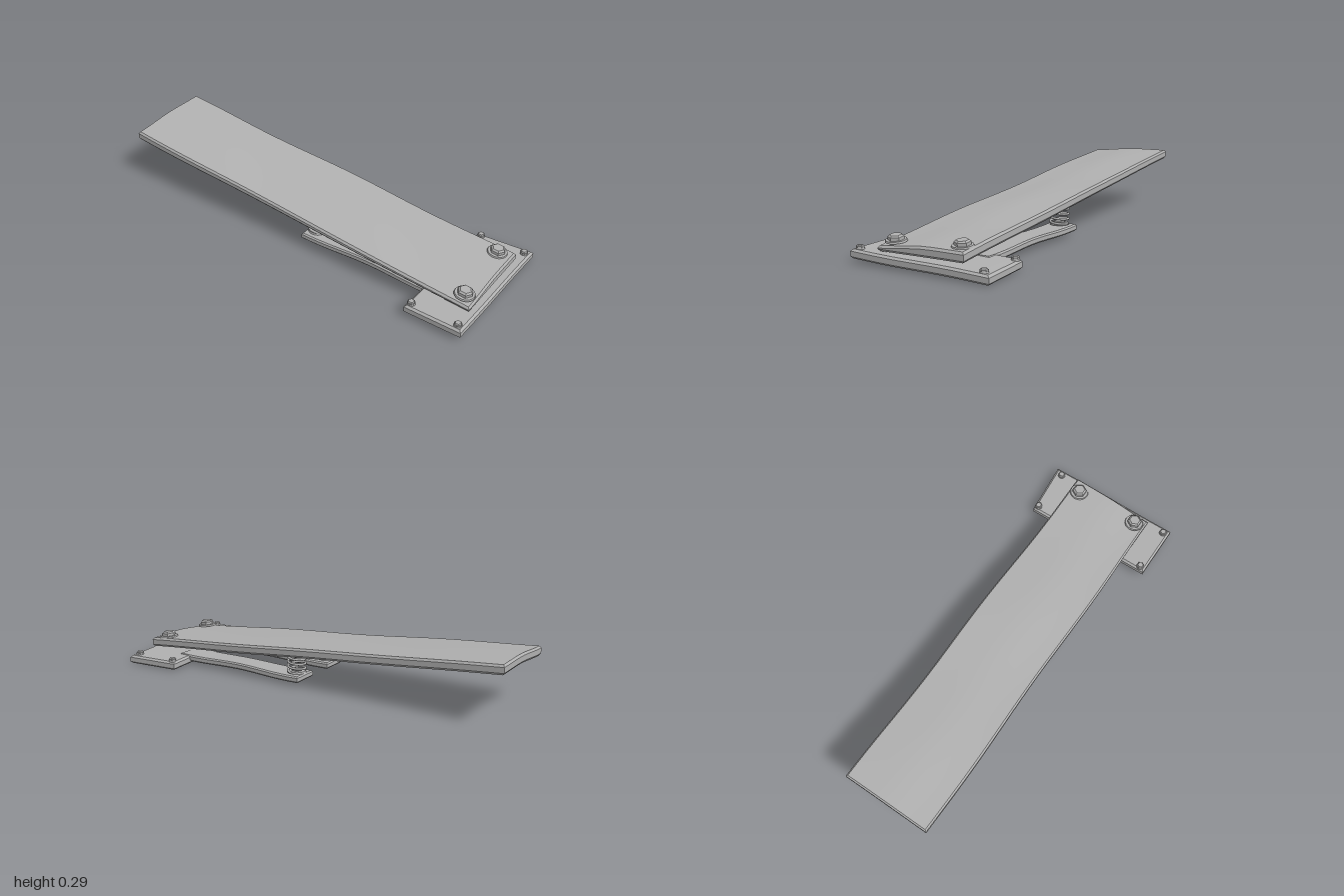
import * as THREE from 'three';
import { toCreasedNormals } from 'three/addons/utils/BufferGeometryUtils.js';

const steel = new THREE.MeshStandardMaterial({ color: 0xb0b0b0 });
steel.name = 'grey steel';

function add(parent, name, geometry, x = 0, y = 0, z = 0) {
  const mesh = new THREE.Mesh(geometry, steel);
  mesh.name = name;
  mesh.position.set(x, y, z);
  parent.add(mesh);
  return mesh;
}

// Subdivided slab with chamfered rims, then bent by a rule on each vertex
function slab(w, h, d, nx, nz, chamfer, bend) {
  const geo = new THREE.BoxGeometry(w, h, d, nx, 3, nz);
  const p = geo.attributes.position;
  const v = new THREE.Vector3();
  for (let i = 0; i < p.count; i++) {
    v.fromBufferAttribute(p, i);
    if (Math.abs(v.y) > h * 0.45) {
      const lx = w / 2 - chamfer, lz = d / 2 - chamfer;
      v.x = THREE.MathUtils.clamp(v.x, -lx, lx);
      v.z = THREE.MathUtils.clamp(v.z, -lz, lz);
    } else {
      v.y *= 1.7;
    }
    bend(v);
    p.setXYZ(i, v.x, v.y, v.z);
  }
  return toCreasedNormals(geo, 0.5);
}

// Hexagonal bolt head on a round washer
function bolt(parent, name, x, y, z, r, h, washerR) {
  const group = new THREE.Group();
  group.name = name;
  group.position.set(x, y, z);
  add(group, 'washer', toCreasedNormals(new THREE.CylinderGeometry(washerR * 0.94, washerR, 0.008, 20), 0.6), 0, 0.003, 0);
  const head = new THREE.CylinderGeometry(r, r, h * 0.75, 6);
  add(group, 'boltHead', toCreasedNormals(head, 0.3), 0, h * 0.375, 0);
  const cap = new THREE.CylinderGeometry(r * 0.75, r, h * 0.25, 6);
  add(group, 'boltCap', toCreasedNormals(cap, 0.3), 0, h * 0.875, 0);
  parent.add(group);
  return group;
}

class Helix extends THREE.Curve {
  constructor(radius, height, turns) {
    super();
    Object.assign(this, { radius, height, turns });
  }
  getPoint(t, target = new THREE.Vector3()) {
    const a = t * this.turns * Math.PI * 2;
    return target.set(Math.cos(a) * this.radius, t * this.height, Math.sin(a) * this.radius);
  }
}

export function createModel() {
  const model = new THREE.Group();
  model.name = 'springboard';

  // Long sloping board, slightly worn down along its right edge
  const slope = 0.0945;
  const board = slab(0.44, 0.046, 1.965, 8, 28, 0.008, (v) => {
    const back = 0.5 - v.z / 1.965;
    const low = THREE.MathUtils.smoothstep(-v.x, -0.05, 0.24) * 0.022;
    const drop = low * (v.y > 0 ? 1 : back);
    const edge = v.x / 0.22;
    v.y += -v.z * slope - drop + 0.002 * Math.sin(v.z * 7 + v.x * 6);
    v.x += 0.004 * edge * Math.sin(v.z * 6 + edge);
  });
  add(model, 'board', board, -0.01, 0.179, -0.0175);

  // Two large bolts holding the board
  for (const [x, y, z] of [[-0.17, 0.103, 0.91], [0.16, 0.117, 0.895]]) {
    const b = bolt(model, 'boardBolt', x, y, z, 0.036, 0.028, 0.048);
    b.rotation.x = Math.atan(slope);
  }

  // Cross plate, tilted down towards the left
  const base = slab(0.69, 0.042, 0.28, 12, 5, 0.01, (v) => {
    v.x += 0.012 * (v.x > 0 ? 1 : 0) * (v.z / 0.14);
    v.y += -0.025 * v.x + 0.002 * Math.sin(v.x * 10);
  });
  add(model, 'basePlate', base, -0.005, 0.033, 0.855);

  // Small bolts in the plate corners
  for (const [x, z] of [[-0.32, 0.735], [-0.32, 0.965], [0.31, 0.74], [0.31, 0.965]]) {
    bolt(model, 'plateBolt', x, 0.053 - 0.025 * x, z, 0.018, 0.018, 0.019);
  }

  // Two support arms, each with a coil spring under the board
  for (const x of [0.14, -0.125]) {
    const arm = slab(0.125, 0.032, 0.74, 3, 14, 0.006, (v) => {
      v.y += 0.003 * Math.cos(v.z * 12);
      v.x *= 1 - 0.08 * Math.cos(v.z * 8);
    });
    add(model, 'supportArm', arm, x, 0.04, 0.41);
    bolt(model, 'springSeat', x, 0.058, 0.088, 0.026, 0.016, 0.046);
    const coil = new THREE.TubeGeometry(new Helix(0.043, 0.095, 4), 96, 0.006, 8);
    add(model, 'spring', coil, x, 0.062, 0.088);
  }
  return model;
}
